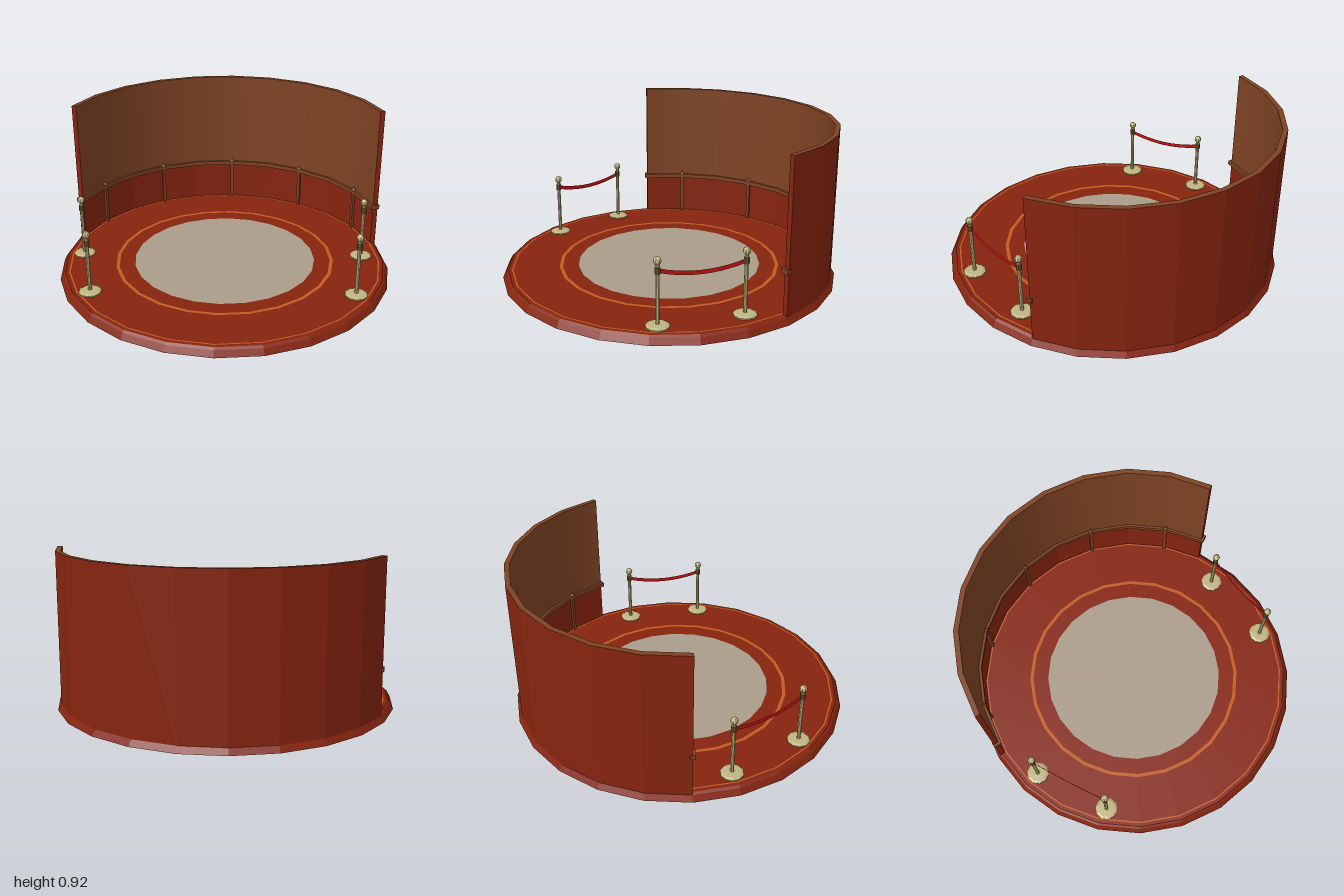
import * as THREE from 'three';
import { toCreasedNormals } from 'three/addons/utils/BufferGeometryUtils.js';

const rad = THREE.MathUtils.degToRad;
const FLOOR = 0.045, TOP = 0.92, SIDES = 24;
const START = rad(105), SWEEP = rad(150); // arc of the back wall
const R_IN = 0.95, R_OUT = 0.98;

function material(name, color, options = {}) {
  return new THREE.MeshStandardMaterial({ name, color, side: THREE.DoubleSide, ...options });
}

export function createModel() {
  const model = new THREE.Group();
  model.name = 'roundStage';
  const red = material('deep red', 0x86240f, { flatShading: true });
  const wood = material('brown wood', 0x7f4324);
  const orange = material('orange line', 0xc25c20);
  const beige = material('beige floor', 0xaa9c8a);
  const brass = material('pale brass', 0xc0b480, { flatShading: true });
  const bronze = material('dark bronze', 0x66542e, { flatShading: true });
  const ropeRed = material('rope red', 0xc01012);

  function add(parent, name, geometry, mat, x = 0, y = 0, z = 0) {
    const mesh = new THREE.Mesh(geometry, mat);
    mesh.name = name;
    mesh.position.set(x, y, z);
    parent.add(mesh);
    return mesh;
  }
  const profile = (pairs) => pairs.map(([r, y]) => new THREE.Vector2(r, y));
  // Surface swept along the back wall
  const arc = (pairs) => new THREE.LatheGeometry(profile(pairs), 10, START, SWEEP);
  // Places an object at a wall angle, with its x axis pointing outward
  function onWall(object, angle, r, y) {
    object.position.set(r * Math.sin(angle), y, r * Math.cos(angle));
    object.rotation.y = angle - Math.PI / 2;
  }

  // Floor: concentric flat bands, open underneath
  const bands = [
    ['floorCentre', 0, 0.55, beige], ['floorInner', 0.55, 0.645, red],
    ['innerLine', 0.645, 0.665, orange], ['floorOuter', 0.665, 0.938, red],
    ['outerLine', 0.938, 0.946, orange], ['floorEdge', 0.946, 0.967, red],
  ];
  for (const [name, r0, r1, mat] of bands) {
    const geometry = r0 === 0 ? new THREE.CircleGeometry(r1, SIDES) : new THREE.RingGeometry(r0, r1, SIDES);
    add(model, name, geometry.rotateX(-Math.PI / 2), mat, 0, FLOOR);
  }
  add(model, 'stageRim',
    new THREE.LatheGeometry(profile([[1, 0], [0.98, 0.035], [0.967, FLOOR]]), SIDES), red);

  // Curved back wall
  const wall = new THREE.Group();
  wall.name = 'backWall';
  model.add(wall);
  add(wall, 'wallOutside', arc([[R_OUT, 0.035], [R_OUT, TOP]]), red);
  add(wall, 'lowerPanels', arc([[R_IN, 0.3], [R_IN, FLOOR]]), red);
  add(wall, 'upperLining', arc([[R_IN, TOP], [R_IN, 0.3]]), wood);
  add(wall, 'wallTop', arc([[R_OUT, TOP], [R_IN, TOP]]), wood);
  for (const angle of [START, START + SWEEP]) {
    const end = add(wall, 'wallEnd', new THREE.PlaneGeometry(R_OUT - R_IN, TOP - FLOOR), red);
    onWall(end, angle, (R_IN + R_OUT) / 2, (TOP + FLOOR) / 2);
    const railEnd = add(wall, 'railEnd', new THREE.BoxGeometry(0.05, 0.026, 0.03), wood);
    onWall(railEnd, angle, 0.96, 0.298);
  }

  // Rail and posts dividing the panels
  const rail = arc([[R_IN, 0.285], [0.95, 0.311], [0.934, 0.311], [0.934, 0.285], [R_IN, 0.285]]);
  add(wall, 'wallRail', toCreasedNormals(rail, 0.6), wood);
  for (let i = -2; i <= 2; i++) {
    const angle = Math.PI + rad(30 * i);
    const post = add(wall, 'panelPost', new THREE.BoxGeometry(0.018, 0.25, 0.02), wood);
    onWall(post, angle, 0.943, 0.17);
    const cap = add(wall, 'postCap', new THREE.ConeGeometry(0.016, 0.022, 8), wood);
    onWall(cap, angle, 0.943, 0.321);
  }

  // Barrier posts
  function barrierPost(x, z) {
    const post = new THREE.Group();
    post.name = 'barrierPost';
    post.position.set(x, FLOOR, z);
    add(post, 'postBase', new THREE.LatheGeometry(profile(
      [[0, 0], [0.066, 0], [0.066, 0.007], [0.052, 0.014], [0.014, 0.016], [0, 0.016]]), 10), brass);
    add(post, 'postPole', new THREE.CylinderGeometry(0.011, 0.011, 0.34, 8), brass, 0, 0.18);
    add(post, 'postCollar', new THREE.CylinderGeometry(0.016, 0.016, 0.035, 8), bronze, 0, 0.311);
    add(post, 'postBall', new THREE.SphereGeometry(0.022, 8, 6), brass, 0, 0.363);
    model.add(post);
  }

  // Thin hanging ribbon between two posts
  function rope(x0, z0, x1, z1) {
    const geometry = new THREE.PlaneGeometry(1, 0.024, 10, 1);
    const p = geometry.attributes.position;
    for (let i = 0; i < p.count; i++) {
      const t = p.getX(i) + 0.5;
      const y = 0.355 - 0.036 * 4 * t * (1 - t) + p.getY(i);
      p.setXYZ(i, x0 + (x1 - x0) * t, y, z0 + (z1 - z0) * t);
    }
    geometry.computeVertexNormals();
    add(model, 'barrierRope', geometry, ropeRed);
  }
  for (const [x0, z0, x1, z1] of [[-0.87, 0, -0.742, 0.46], [0.838, -0.063, 0.77, 0.41]]) {
    barrierPost(x0, z0);
    barrierPost(x1, z1);
    rope(x0, z0, x1, z1);
  }
  return model;
}
